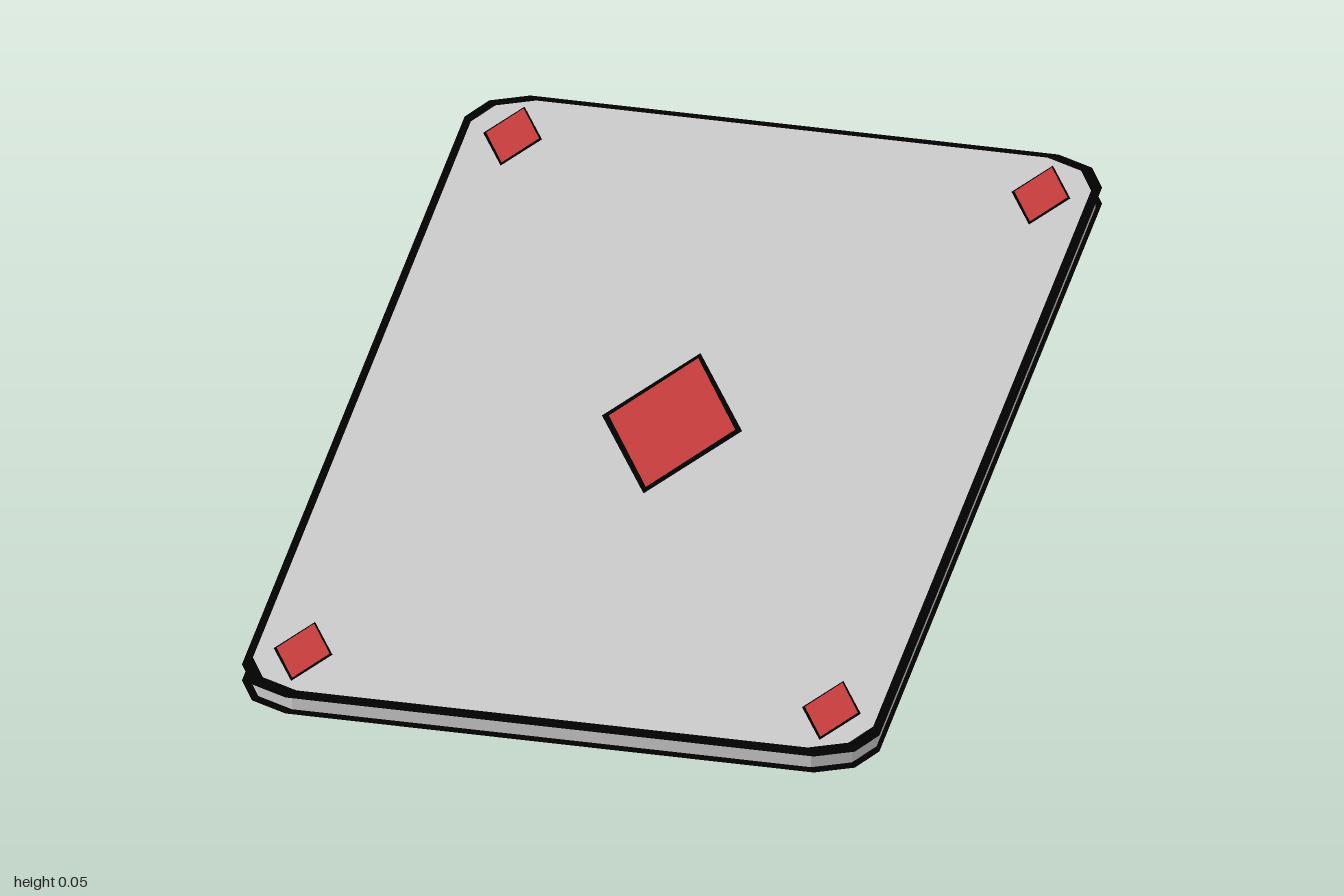
import * as THREE from 'three';

const grey = new THREE.MeshStandardMaterial({ color: 0xcccccc, side: THREE.DoubleSide, flatShading: true });
const black = new THREE.MeshStandardMaterial({ color: 0x000000, side: THREE.DoubleSide });
const red = new THREE.MeshStandardMaterial({ color: 0xc83c3c, side: THREE.DoubleSide });

const MID = 0.023; // height of the card's middle plane

// Rectangle with two-step cut corners
function cardShape(w, l) {
  const corner = [[w, l - 0.09], [w - 0.03, l - 0.03], [w - 0.095, l]];
  const flipped = [...corner].reverse();
  const pts = [
    ...corner,
    ...flipped.map(([x, y]) => [-x, y]),
    ...corner.map(([x, y]) => [-x, -y]),
    ...flipped.map(([x, y]) => [x, -y]),
  ];
  return new THREE.Shape(pts.map(([x, y]) => new THREE.Vector2(x, y)));
}

function diamondShape(w, l) {
  return new THREE.Shape([[w, 0], [0, l], [-w, 0], [0, -l]].map(([x, y]) => new THREE.Vector2(x, y)));
}

// Flat sheet facing up at height y
function sheet(name, shape, material, y) {
  const mesh = new THREE.Mesh(new THREE.ShapeGeometry(shape).rotateX(-Math.PI / 2), material);
  mesh.name = name;
  mesh.position.y = y;
  return mesh;
}

// Red diamond on a slightly larger black one
function diamond(name, x, z, scale) {
  const g = new THREE.Group();
  g.name = name;
  g.add(sheet('diamondOutline', diamondShape(0.122, 0.233), black, 0.0215));
  g.add(sheet('diamondFill', diamondShape(0.11, 0.214), red, 0.023));
  g.position.set(x, 0, z);
  g.scale.set(scale, 1, scale);
  return g;
}

// One printed side: black border, face sheet and five diamonds
function printedSide(name) {
  const side = new THREE.Group();
  side.name = name;
  side.add(sheet('border', cardShape(0.555, 1), black, 0.016));
  side.add(sheet('face', cardShape(0.54, 0.98), grey, 0.02));
  side.add(diamond('centreDiamond', 0, 0, 1));
  for (const x of [-0.46, 0.46])
    for (const z of [-0.856, 0.856]) side.add(diamond('cornerDiamond', x, z, 0.42));
  side.position.y = MID;
  return side;
}

export function createModel() {
  const model = new THREE.Group();
  model.name = 'playingCard';

  // Card core between the two printed sides
  const core = new THREE.ExtrudeGeometry(cardShape(0.547, 0.985), { depth: 0.031, bevelEnabled: false });
  core.rotateX(-Math.PI / 2).translate(0, MID - 0.0155, 0);
  const coreMesh = new THREE.Mesh(core, grey);
  coreMesh.name = 'core';
  model.add(coreMesh);

  const top = printedSide('topSide');
  const bottom = printedSide('bottomSide');
  bottom.rotation.z = Math.PI;
  model.add(top, bottom);
  return model;
}
